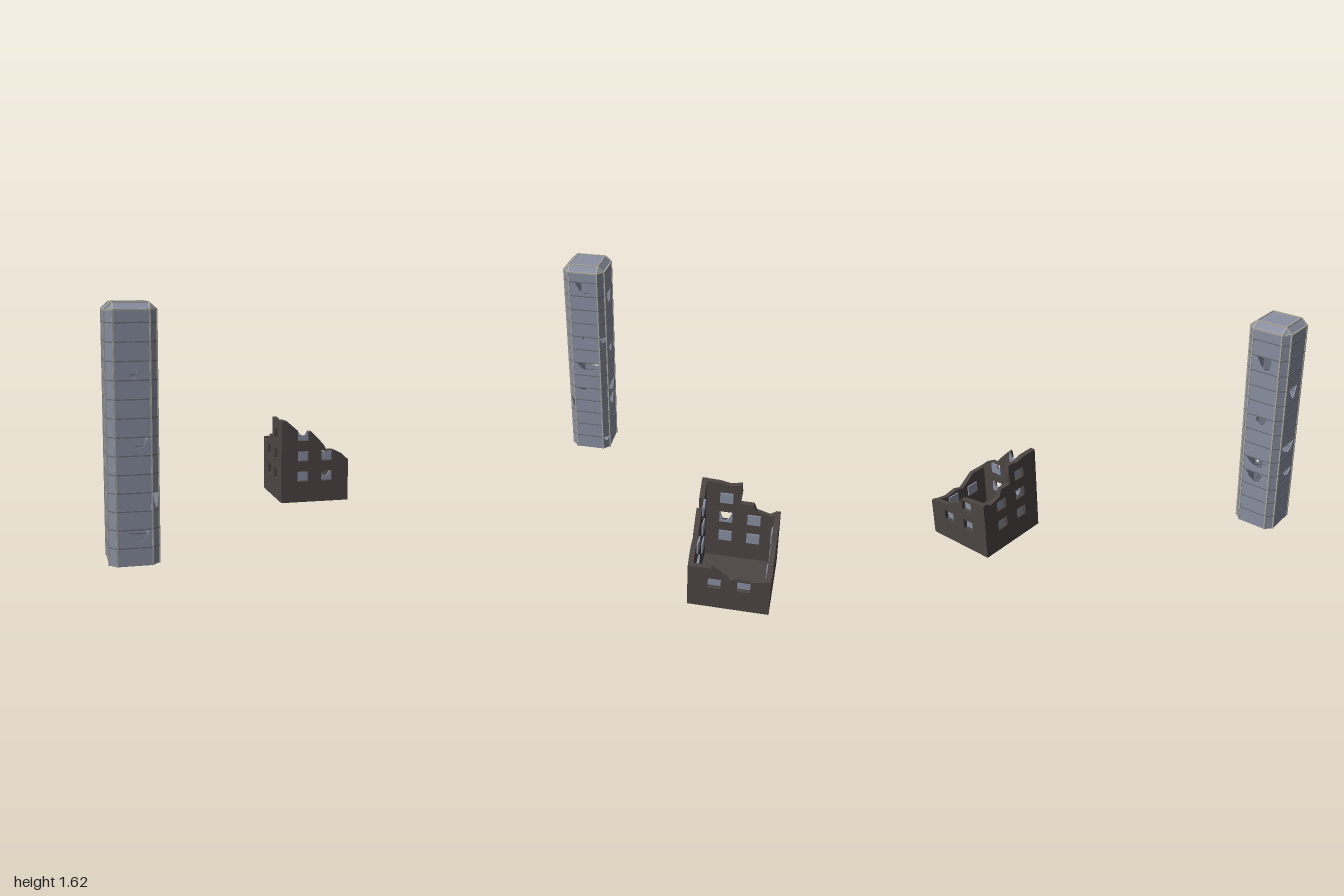
import * as THREE from 'three';
import { ConvexGeometry } from 'three/addons/geometries/ConvexGeometry.js';

const mat = (color) => new THREE.MeshStandardMaterial({ color, flatShading: true });
const glass = mat(0x8a90a2), trim = mat(0xaaa89e), frame = mat(0x6d7078), masonry = mat(0x4c4543);

function add(parent, name, geometry, material) {
  const mesh = new THREE.Mesh(geometry, material);
  mesh.name = name;
  parent.add(mesh);
  return mesh;
}

// Flat sheet standing on v = 0 whose upper edge follows "top", left to right
function sheet(width, top, depth, holes = []) {
  const half = width / 2;
  const corners = [[-half, 0], [half, 0], ...[...top].reverse()];
  const shape = new THREE.Shape(corners.map(([u, v]) => new THREE.Vector2(u, v)));
  for (const [u, v, w, h] of holes) {
    shape.holes.push(new THREE.Path([[u - w / 2, v], [u - w / 2, v + h], [u + w / 2, v + h], [u + w / 2, v]]
      .map(([a, b]) => new THREE.Vector2(a, b))));
  }
  return new THREE.ExtrudeGeometry(shape, { depth, bevelEnabled: false });
}

// Pane, optionally with a jagged gap in its upper edge: start, end and depth as fractions
function pane(w, h, depth, gap) {
  let top = [[0, 1], [1, 1]];
  if (gap) {
    const [from, to, drop] = gap;
    const along = (t) => from + (to - from) * t;
    top = [[0, 1], [from, 1], [along(0.25), 1 - drop * 0.65], [along(0.55), 1 - drop],
      [along(0.75), 1 - drop * 0.85], [to, 1], [1, 1]];
  }
  return sheet(w, top.map(([u, v]) => [(u - 0.5) * w, v * h]), depth);
}

// Square bar between two points
function bar(parent, name, a, b, size, material) {
  const mesh = add(parent, name, new THREE.BoxGeometry(size, size, a.distanceTo(b)), material);
  mesh.position.copy(a).lerp(b, 0.5);
  mesh.lookAt(b);
}

// ---- Tall glass tower with chamfered corners ----
const HALF = 0.157, INNER = 0.11, FLOOR = 0.115, EAVE = 1.57, TOP = 1.612;

// Broken panes by side (0 front, 2 +x, 4 back, 6 -x, odd = chamfers) and floor
const BREAKS = {
  0: { 1: [0.3, 0.92, 0.72], 6: [0.3, 0.92, 0.6], 10: [0.3, 0.68, 0.97] },
  1: { 3: [0.1, 0.98, 0.9] },
  2: { 4: [0.08, 0.5, 0.25], 6: [0.08, 0.98, 0.75], 8: [0.3, 0.98, 0.45], 12: [0.2, 0.9, 0.92] },
  3: { 0: [0.05, 0.95, 0.4], 8: [0.05, 0.95, 0.45] },
  4: { 3: [0.1, 0.8, 0.8], 4: [0.05, 0.95, 0.7], 7: [0.25, 0.75, 0.6], 11: [0.2, 0.8, 0.9] },
  6: { 3: [0.3, 0.95, 0.5], 5: [0.05, 0.95, 0.7], 9: [0.2, 0.75, 0.85] },
};

function createTower() {
  const tower = new THREE.Group();
  tower.name = 'glassTower';
  const at = ([x, z], y) => new THREE.Vector3(x, y, z);
  const square = [[1, 1], [1, -1], [-1, -1], [-1, 1]].map(([x, z]) => [x * INNER, z * INNER]);
  // Each square corner splits into two outline points, in order around the tower
  const ring = square.flatMap(([x, z], i) => {
    const pair = [[x, Math.sign(z) * HALF], [Math.sign(x) * HALF, z]];
    return i % 2 ? pair.reverse() : pair;
  });

  // Glazed sides, floor by floor, with a thin band at each floor
  for (let side = 0; side < 8; side++) {
    const wide = side % 2 === 0;
    const width = wide ? INNER * 2 : (HALF - INNER) * Math.SQRT2;
    const distance = wide ? HALF : (HALF + INNER) / Math.SQRT2;
    const face = new THREE.Group();
    face.name = 'towerSide';
    face.rotation.y = side * Math.PI / 4;
    tower.add(face);
    for (let level = 0; level < 14; level++) {
      const y = level * FLOOR;
      const height = Math.min(FLOOR, EAVE - y);
      add(face, 'windowPanel', pane(width, height, 0.008, BREAKS[side]?.[level]), glass)
        .position.set(0, y, distance - 0.008);
      if (level === 0) continue;
      add(face, 'floorBand', new THREE.BoxGeometry(width, 0.008, 0.012), frame)
        .position.set(0, y, distance - 0.003);
    }
  }

  // Closed base and sloped roof cap
  const base = [0, 0.008].flatMap((y) => ring.map((p) => at(p, y)));
  add(tower, 'towerBase', new ConvexGeometry(base), glass);
  const cap = [...ring.map((p) => at(p, EAVE)), ...square.map((p) => at(p, TOP))];
  add(tower, 'roofCap', new ConvexGeometry(cap), glass);

  // Light edge trim
  ring.forEach((p, i) => {
    bar(tower, 'cornerTrim', at(p, 0), at(p, EAVE), 0.01, trim);
    bar(tower, 'eaveTrim', at(p, EAVE), at(ring[(i + 1) % 8], EAVE), 0.01, trim);
    bar(tower, 'roofSlopeTrim', at(p, EAVE), at(square[Math.floor(i / 2)], TOP), 0.01, trim);
  });
  square.forEach((p, i) => bar(tower, 'roofEdgeTrim', at(p, TOP), at(square[(i + 1) % 4], TOP), 0.01, trim));
  return tower;
}

// ---- Ruined square building ----
const SIZE = 0.545, EDGE = SIZE / 2, WALL = 0.035, COL = 0.097, WIN_W = 0.09, WIN_H = 0.08;
const windowBase = (row) => 0.165 + row * 0.161;

// Wall with a broken skyline; windows are [column sign, row, gap in the pane]
function addWall(parent, name, turn, top, windows) {
  const side = new THREE.Group();
  side.name = name;
  side.rotation.y = turn * Math.PI / 2;
  parent.add(side);
  const holes = windows.map(([sign, row]) => [sign * COL, windowBase(row), WIN_W, WIN_H]);
  add(side, 'brokenWall', sheet(SIZE, top, WALL, holes), masonry).position.z = EDGE - WALL;
  for (const [sign, row, gap] of windows) addPane(side, sign, row, gap);
  return side;
}

// Recessed pane standing slightly proud of the inner wall face
function addPane(side, sign, row, gap) {
  add(side, 'windowPane', pane(WIN_W, WIN_H, 0.015, gap), glass)
    .position.set(sign * COL, windowBase(row), EDGE - 0.045);
}

function createRuin() {
  const ruin = new THREE.Group();
  ruin.name = 'ruinedBuilding';

  // The front skyline cuts down around an upper window left open at the top
  const front = addWall(ruin, 'frontWall', 0, [
    [-EDGE, 0.65], [-0.235, 0.65], [-0.142, 0.57], [-0.142, 0.487], [-0.052, 0.487], [-0.052, 0.55],
    [-0.04, 0.565], [0.04, 0.485], [0.07, 0.45], [0.09, 0.412], [0.15, 0.41], [0.22, 0.375], [EDGE, 0.32],
  ], [[-1, 0], [-1, 1], [1, 0, [0.02, 0.9, 0.6]], [1, 1, [0.02, 0.35, 0.45]]]);
  addPane(front, -1, 2, [0.02, 0.98, 0.55]);

  addWall(ruin, 'leftWall', 1, [
    [-EDGE, 0.33], [-0.12, 0.33], [-0.05, 0.28], [0, 0.25], [0.05, 0.27], [0.15, 0.255], [EDGE, 0.28],
  ], [[-1, 0], [1, 0]]);

  addWall(ruin, 'backWall', 2, [
    [-EDGE, 0.28], [-0.1, 0.31], [-0.05, 0.34], [0.03, 0.37], [0.05, 0.415], [0.16, 0.43], [EDGE, 0.44],
  ], [[-1, 0], [1, 0], [1, 1]]);

  addWall(ruin, 'rightWall', 3, [
    [-EDGE, 0.44], [-0.25, 0.44], [-0.2, 0.412], [-0.11, 0.44], [-0.09, 0.49], [0, 0.49],
    [-0.008, 0.58], [-0.002, 0.645], [0.08, 0.63], [0.15, 0.645], [EDGE, 0.65],
  ], [[-1, 0], [-1, 1], [1, 0], [1, 1, [0.02, 0.98, 0.95]], [1, 2]]);

  add(ruin, 'groundFloor', new THREE.BoxGeometry(SIZE, 0.015, SIZE), masonry).position.y = 0.0075;
  return ruin;
}

export function createModel() {
  const model = new THREE.Group();
  model.name = 'cityBuildings';
  const tower = createTower(), ruin = createRuin();
  tower.position.set(-0.84, 0, 0.757);
  ruin.position.set(0.7225, 0, -0.6475);
  model.add(tower, ruin);
  return model;
}
